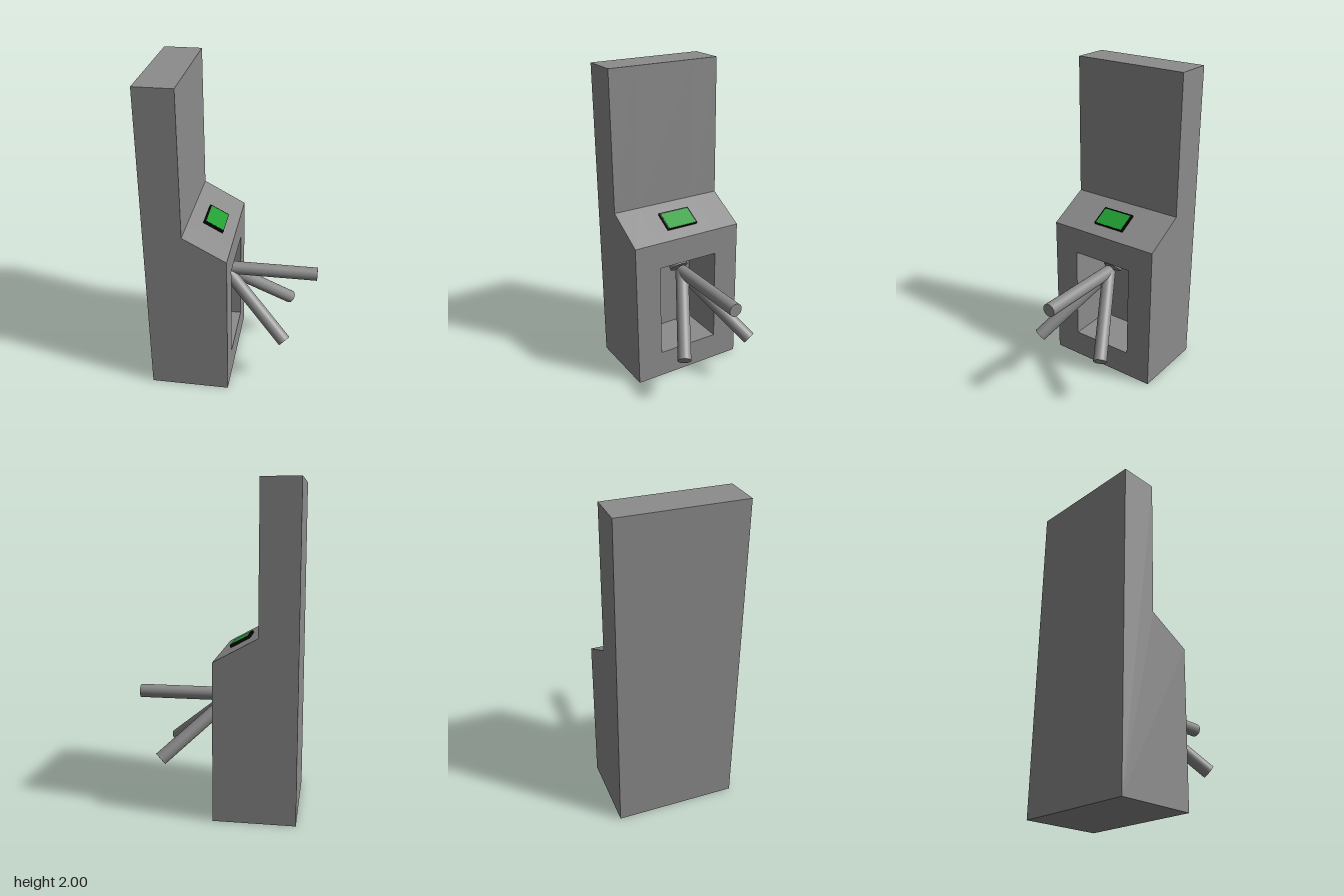
import * as THREE from 'three';

const grey = new THREE.MeshStandardMaterial({ color: 0x8c8c8c });
const black = new THREE.MeshStandardMaterial({ color: 0x030303 });
const green = new THREE.MeshStandardMaterial({ color: 0x219e33 });

// Slab with an x/y profile, extruded from z0 to z1
function slab(points, z0, z1) {
  const shape = new THREE.Shape(points.map(([x, y]) => new THREE.Vector2(x, y)));
  return new THREE.ExtrudeGeometry(shape, { depth: z1 - z0, bevelEnabled: false }).translate(0, 0, z0);
}

// Cylinder running from point a to point b
function rod(a, b, radius) {
  const dir = b.clone().sub(a);
  const geo = new THREE.CylinderGeometry(radius, radius, dir.length(), 32);
  const mesh = new THREE.Mesh(geo, grey);
  mesh.quaternion.setFromUnitVectors(new THREE.Vector3(0, 1, 0), dir.normalize());
  mesh.position.addVectors(a, b).multiplyScalar(0.5);
  return mesh;
}

export function createModel() {
  const group = new THREE.Group();
  const add = (mesh, name, parent = group) => {
    mesh.name = name;
    parent.add(mesh);
    return mesh;
  };

  // Cabinet: two full side slabs and a notched middle that forms the recess
  const back = -0.508, face = -0.013, recess = -0.328;
  const upper = [[face, 0.963], [-0.276, 1.108], [-0.276, 2], [back, 2]];
  const full = [[back, 0], [face, 0], ...upper];
  const notched = [[back, 0], [face, 0], [face, 0.175], [recess, 0.175],
    [recess, 0.793], [face, 0.793], ...upper];
  const cabinet = add(new THREE.Group(), 'cabinet');
  add(new THREE.Mesh(slab(full, 0.205, 0.375), grey), 'frontSide', cabinet);
  add(new THREE.Mesh(slab(notched, -0.205, 0.205), grey), 'recessedMiddle', cabinet);
  add(new THREE.Mesh(slab(full, -0.375, -0.205), grey), 'rearSide', cabinet);

  // Display lying on the sloped ledge
  const display = add(new THREE.Group(), 'display');
  display.position.set(-0.141, 1.034, 0);
  display.rotation.z = -Math.atan2(0.145, 0.263);
  const frame = add(new THREE.Mesh(new THREE.BoxGeometry(0.134, 0.02, 0.214), black), 'displayFrame', display);
  frame.position.y = 0.006;
  const screen = add(new THREE.Mesh(new THREE.BoxGeometry(0.12, 0.002, 0.195), green), 'screen', display);
  screen.position.set(0.004, 0.0162, 0);

  // Tripod: tilted hub behind three arms that meet at one point
  const tripod = add(new THREE.Group(), 'tripod');
  const apex = new THREE.Vector3(-0.09, 0.687, 0);
  add(rod(new THREE.Vector3(-0.125, 0.703, 0), new THREE.Vector3(-0.265, 0.843, 0), 0.06), 'hub', tripod);
  const tips = [[0.51, 0.687, 0], [0.331, 0.321, 0.243], [0.331, 0.321, -0.243]];
  tips.forEach((tip, i) => add(rod(apex, new THREE.Vector3(...tip), 0.042), 'arm' + (i + 1), tripod));

  return group;
}
